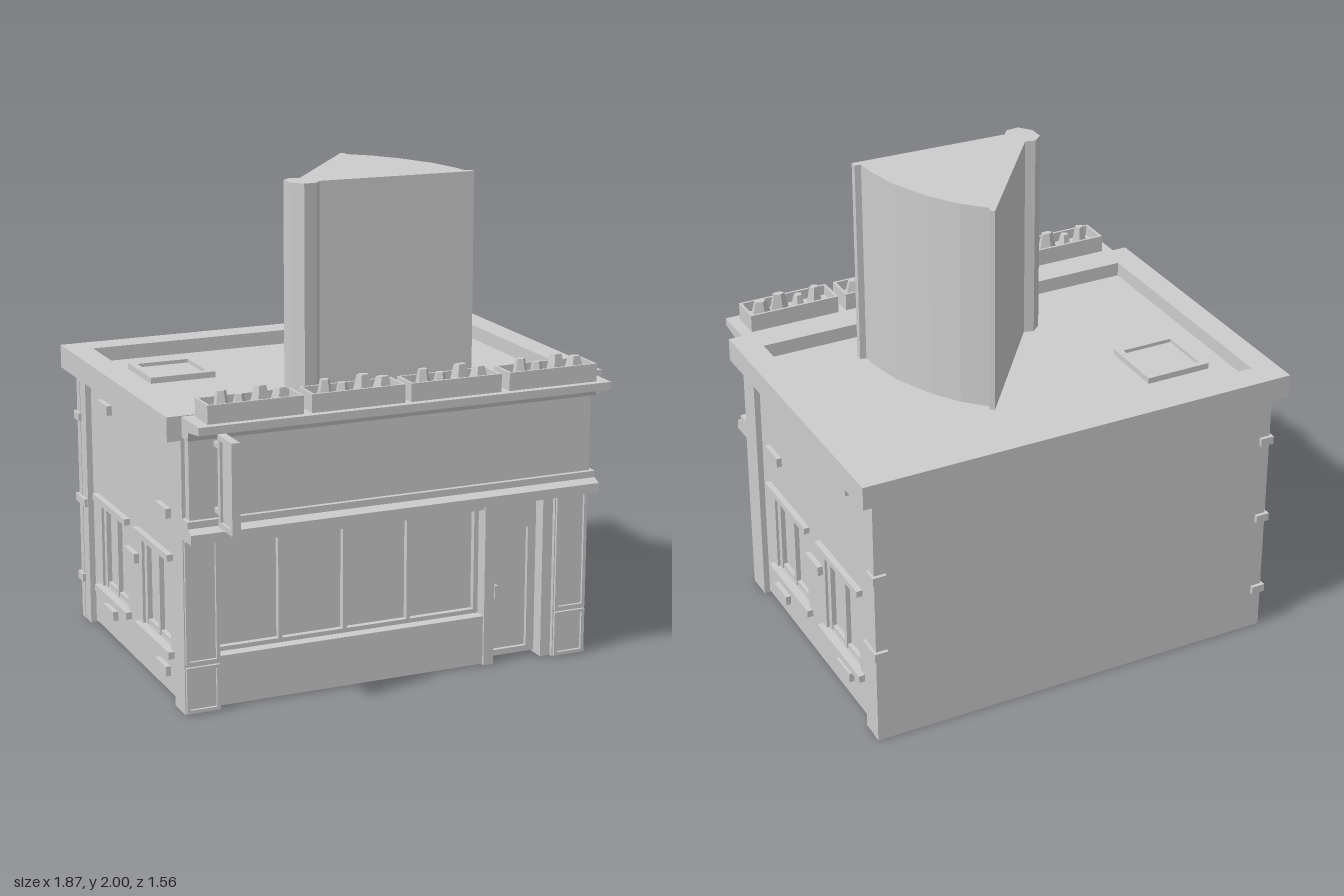
import * as THREE from 'three';

export function createModel() {
  const model = new THREE.Group();
  const stone = new THREE.MeshStandardMaterial({ color: 0xcccccc, flatShading: true });
  stone.name = 'plain grey';

  const add = (name, geometry, parent = model) => {
    const mesh = new THREE.Mesh(geometry, stone);
    mesh.name = name;
    parent.add(mesh);
    return mesh;
  };
  // Box given by its limits on each axis
  const box = (name, x0, x1, y0, y1, z0, z1, parent) => {
    const mesh = add(name, new THREE.BoxGeometry(x1 - x0, y1 - y0, z1 - z0), parent);
    mesh.position.set((x0 + x1) / 2, (y0 + y1) / 2, (z0 + z1) / 2);
    return mesh;
  };
  const corners = ([a, b, c, d]) => [[a, c], [b, c], [b, d], [a, d]].map(p => new THREE.Vector2(...p));
  // Rectangle [u0, u1, v0, v1] with rectangular holes, extruded
  const plate = (outer, holes, depth) => {
    const shape = new THREE.Shape(corners(outer));
    holes.forEach(h => shape.holes.push(new THREE.Path(corners(h).reverse())));
    return new THREE.ExtrudeGeometry(shape, { depth, bevelEnabled: false });
  };
  // Floor plan of [x, z] points raised from y0 to y1
  const prism = (name, plan, y0, y1) => {
    const shape = new THREE.Shape(plan.map(([x, z]) => new THREE.Vector2(x, -z)));
    const g = new THREE.ExtrudeGeometry(shape, { depth: y1 - y0, bevelEnabled: false });
    return add(name, g.rotateX(-Math.PI / 2).translate(0, y0, 0));
  };
  // Moulding with a [z, y] profile running along x
  const moulding = (name, profile, halfWidth) => {
    const shape = new THREE.Shape(profile.map(([z, y]) => new THREE.Vector2(-z, y)));
    const g = new THREE.ExtrudeGeometry(shape, { depth: halfWidth * 2, bevelEnabled: false });
    return add(name, g.rotateY(Math.PI / 2).translate(-halfWidth, 0, 0));
  };
  // Flat frame facing the front
  const frontFrame = (name, outer, holes, z, depth) =>
    add(name, plate(outer, holes, depth).translate(0, 0, z));

  // Shell, open underneath
  box('backWall', -0.882, 0.882, 0, 1.12, -0.74, -0.7);
  box('floor', -0.84, 0.84, 0.2, 0.22, -0.71, 0.42);
  box('floorBeam', -0.84, 0.84, 0.14, 0.2, -0.1, -0.05);
  box('roofDeck', -0.85, 0.85, 1.11, 1.14, -0.7, 0.5);
  const rim = plate([-0.935, 0.935, -0.53, 0.78], [[-0.83, 0.83, -0.41, 0.66]], 0.097);
  add('roofRim', rim.rotateX(-Math.PI / 2).translate(0, 1.103, 0));

  // Side walls with recessed windows, sills, lintels and raised bricks
  const windowCentres = [0.147, -0.363];
  const bricks = [[0.16, 1.08], [-0.42, 1.005], [0.275, 0.76], [-0.115, 0.46], [0.245, 0.1], [-0.4, 0.12]];
  for (const s of [1, -1]) {
    const side = new THREE.Group();
    side.name = s > 0 ? 'leftSide' : 'rightSide';
    model.add(side);
    const onSide = (name, a, b, y0, y1, z0, z1) =>
      box(name, Math.min(s * a, s * b), Math.max(s * a, s * b), y0, y1, z0, z1, side);
    const holes = windowCentres.map(c => [-c - 0.165, -c + 0.165, 0.195, 0.57]);
    add('sideWall', plate([-0.45, 0.71, 0.01, 1.12], holes, 0.04)
      .rotateY(Math.PI / 2).translate(s > 0 ? 0.815 : -0.855, 0, 0), side);
    onSide('frontCorner', 0.8, 0.88, 0, 1.12, 0.42, 0.53);
    onSide('rearCorner', 0.8, 0.88, 0, 1.12, -0.735, -0.63);
    for (const c of windowCentres) {
      const panes = [-1, 1].map(k => {
        const m = -c + k * 0.073;
        return [m - 0.062, m + 0.062, 0.2, 0.54];
      });
      add('windowFrame', plate([-c - 0.165, -c + 0.165, 0.19, 0.57], panes, 0.02)
        .rotateY(Math.PI / 2).translate(s > 0 ? 0.824 : -0.844, 0, 0), side);
      onSide('windowPane', 0.815, 0.822, 0.195, 0.565, c - 0.16, c + 0.16);
      onSide('windowSill', 0.82, 0.88, 0.165, 0.195, c - 0.203, c + 0.203);
      onSide('windowLintel', 0.82, 0.88, 0.57, 0.597, c - 0.203, c + 0.203);
    }
    for (const [z, y] of bricks) onSide('raisedBrick', 0.8, 0.877, y - 0.02, y + 0.02, z - 0.062, z + 0.062);
    // Bricks wrapping the rear corners
    const quoins = s > 0 ? [[0.755, -0.69], [0.405, -0.637]] : [[0.9, -0.69], [0.535, -0.637], [0.185, -0.69]];
    for (const [y, z] of quoins) onSide('cornerBrick', 0.835, 0.893, y - 0.017, y + 0.017, -0.755, z);

    // Panelled pilaster on the front
    const x0 = s > 0 ? 0.733 : -0.88, x1 = s > 0 ? 0.88 : -0.733;
    box('pilaster', x0, x1, 0, 0.72, 0.42, 0.533);
    for (const [y0, y1] of [[0.005, 0.193], [0.203, 0.705]])
      frontFrame('pilasterPanel', [x0 + 0.004, x1 - 0.004, y0, y1],
        [[x0 + 0.018, x1 - 0.018, y0 + 0.014, y1 - 0.014]], 0.533, 0.012);
  }

  // Shop front: riser, four-pane window, posts and door
  box('stallRiser', -0.74, 0.425, 0.005, 0.21, 0.415, 0.505);
  const panes = [[-0.715, -0.455], [-0.438, -0.178], [-0.16, 0.103], [0.12, 0.405]].map(p => [...p, 0.228, 0.645]);
  frontFrame('shopWindowFrame', [-0.74, 0.425, 0.205, 0.665], panes, 0.43, 0.025);
  box('shopWindowGlass', -0.735, 0.42, 0.21, 0.66, 0.423, 0.43);
  box('shopHeader', -0.74, 0.425, 0.663, 0.72, 0.42, 0.505);
  box('doorPost', 0.425, 0.47, 0, 0.715, 0.42, 0.515);
  box('doorPost', 0.688, 0.74, 0, 0.715, 0.42, 0.515);
  frontFrame('doorFrame', [0.465, 0.69, 0.01, 0.72], [[0.498, 0.652, 0.035, 0.55]], 0.43, 0.025);
  box('doorGlass', 0.47, 0.685, 0.015, 0.7, 0.432, 0.438);
  box('doorHandle', 0.495, 0.508, 0.265, 0.32, 0.44, 0.475);

  // Fascia with lower and upper mouldings
  box('fascia', -0.865, 0.865, 0.71, 1.14, 0.45, 0.57);
  moulding('lowerMoulding', [[0.45, 0.715], [0.45, 0.797], [0.59, 0.797], [0.59, 0.77], [0.627, 0.755], [0.627, 0.715]], 0.88);
  moulding('upperMoulding', [[0.5, 1.115], [0.5, 1.197], [0.712, 1.197], [0.712, 1.165], [0.6, 1.15], [0.592, 1.115]], 0.875);

  // Planters filled with faceted plants: [offset, half width, height, turn]
  const plants = [[-0.115, 0.037, 0.11, 0.3], [-0.042, 0.034, 0.09, 1.4], [0.045, 0.048, 0.114, 0.8], [0.127, 0.05, 0.098, 2.1]];
  [-0.633, -0.21, 0.205, 0.63].forEach(x => {
    const planter = new THREE.Group();
    planter.name = 'planter';
    planter.position.set(x, 1.197, 0.615);
    model.add(planter);
    add('planterWalls', plate([-0.195, 0.195, -0.066, 0.066], [[-0.184, 0.184, -0.056, 0.056]], 0.073)
      .rotateX(-Math.PI / 2), planter);
    box('planterSoil', -0.187, 0.187, 0, 0.03, -0.058, 0.058, planter);
    for (const [dx, w, h, turn] of plants) {
      const g = new THREE.CylinderGeometry(0.55, 1, 1, 5, 1).rotateY(turn).scale(w, h - 0.025, 0.03);
      const plant = add('plant', g, planter);
      plant.position.set(dx, 0.025 + (h - 0.025) / 2, 0);
    }
  });

  // Hanging sign on two brackets
  box('signBoard', -0.76, -0.748, 0.785, 1.135, 0.64, 0.77);
  const signFrame = plate([-0.777, -0.632, 0.78, 1.142], [[-0.755, -0.655, 0.802, 1.122]], 0.034);
  add('signFrame', signFrame.rotateY(Math.PI / 2).translate(-0.771, 0, 0));
  for (const y of [0.83, 1.09]) box('signBracket', -0.763, -0.745, y - 0.01, y + 0.01, 0.56, 0.64);

  // Roof hatch
  const hatch = plate([-0.735, -0.455, 0.21, 0.49], [[-0.705, -0.483, 0.24, 0.46]], 0.03);
  add('hatchFrame', hatch.rotateX(-Math.PI / 2).translate(0, 1.135, 0));
  box('hatchLid', -0.71, -0.48, 1.13, 1.15, -0.465, -0.235);

  // Tall wedge tower with a curved rear face and a faceted corner post
  prism('tower', [
    [-0.3, 0.155], [-0.3, 0.22], [-0.26, 0.27], [-0.205, 0.265], [-0.18, 0.232], [0.484, 0.255],
    [0.484, 0.228], [0.458, 0.225], [0.453, 0.15], [0.424, 0.005], [0.353, -0.16], [0.278, -0.275],
    [0.193, -0.36], [0.205, -0.382], [0.188, -0.395], [-0.22, 0.132], [-0.26, 0.12],
  ], 1.13, 2);

  return model;
}
